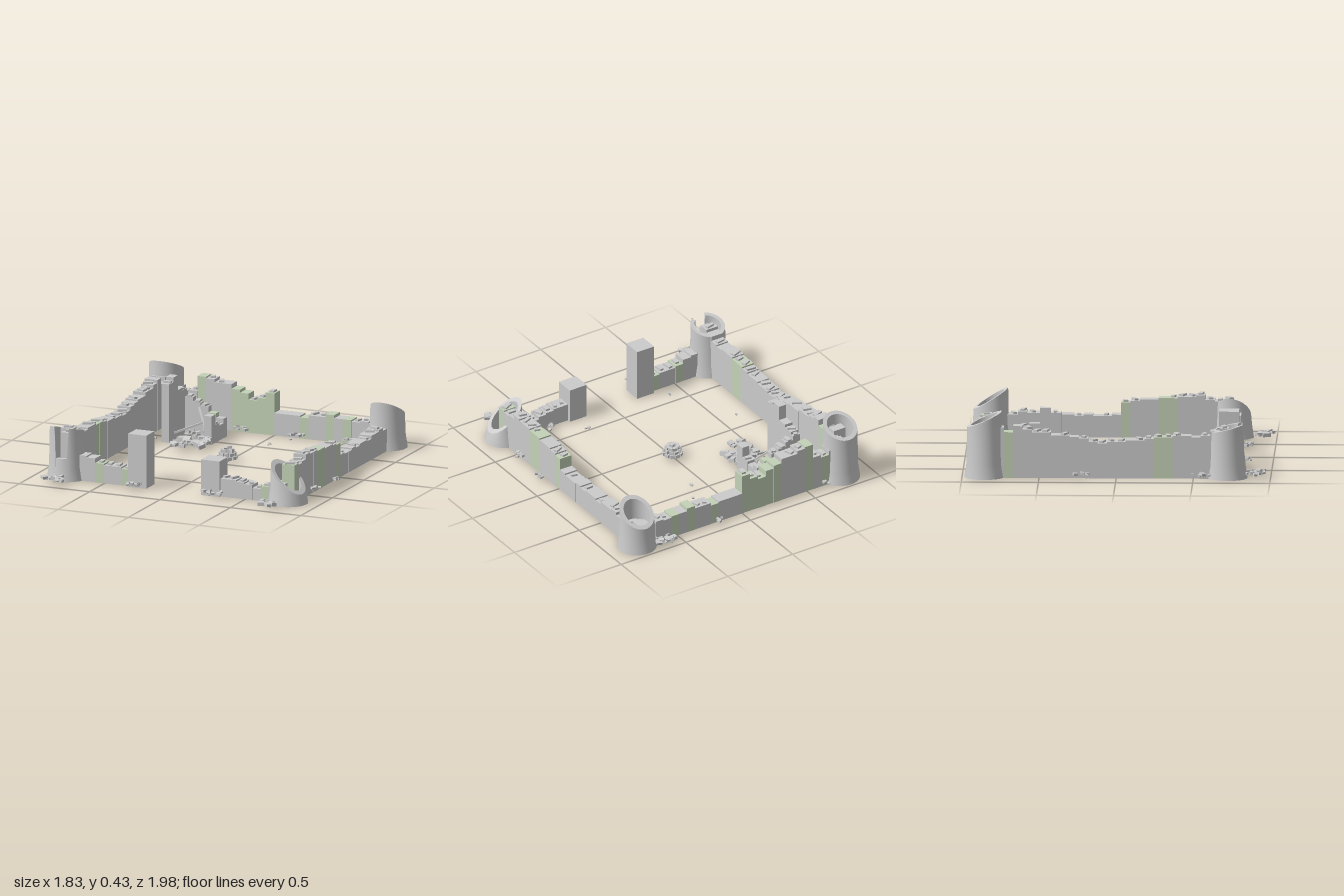
import * as THREE from 'three';
import { toCreasedNormals } from 'three/addons/utils/BufferGeometryUtils.js';

const stone = new THREE.MeshStandardMaterial({ color: 0xcccccc, flatShading: true });
const mossy = new THREE.MeshStandardMaterial({ color: 0xc4d2b8, flatShading: true });
const smooth = new THREE.MeshStandardMaterial({ color: 0xcccccc });

// Small seeded generator for the irregular stones
let seed = 7;
const rand = () => (seed = (seed * 16807) % 2147483647) / 2147483647;
const spread = (a) => (rand() * 2 - 1) * a;

function group(name, parent) {
  const g = new THREE.Group();
  g.name = name;
  parent.add(g);
  return g;
}

function box(parent, name, w, h, d, x, y, z, material = stone) {
  const m = new THREE.Mesh(new THREE.BoxGeometry(w, h, d), material);
  m.name = name;
  m.position.set(x, y, z);
  parent.add(m);
  return m;
}

// A run of standing blocks from [x,z] to [x,z], each with its own broken height
function wall(parent, name, from, to, thick, heights) {
  const g = group(name, parent);
  const [dx, dz] = [to[0] - from[0], to[1] - from[1]];
  const alongX = Math.abs(dx) > Math.abs(dz);
  const step = Math.hypot(dx, dz) / heights.length;
  heights.forEach((h, i) => {
    const t = (i + 0.5) / heights.length;
    const x = from[0] + dx * t, z = from[1] + dz * t;
    const across = thick + spread(0.002);
    const [w, d] = alongX ? [step, across] : [across, step];
    box(g, 'wallBlock', w, h, d, x, h / 2, z, rand() < 0.25 ? mossy : stone);
    if (rand() < 0.6) {
      const chip = box(g, 'looseTopStone', 0.022 + rand() * 0.012, 0.014, 0.04 + rand() * 0.025,
        x + spread(0.005), h + 0.006, z + spread(0.005));
      chip.rotation.y = (alongX ? 0 : Math.PI / 2) + spread(0.5);
    }
  });
}

// Hollow round tower with a flared foot and a slanting broken rim
function tower(parent, name, x, z, mid, slopeX, slopeZ, notch) {
  const TOP = 1;
  const profile = [[0, 0], [0.13, 0], [0.117, 0.09], [0.112, TOP], [0.086, TOP], [0.086, 0.012], [0, 0.012]];
  const geo = new THREE.LatheGeometry(profile.map(([r, y]) => new THREE.Vector2(r, y)), 48);
  const p = geo.attributes.position;
  for (let i = 0; i < p.count; i++) {
    const px = p.getX(i), pz = p.getZ(i);
    let rim = mid + slopeX * px + slopeZ * pz;
    if (notch && pz > 0 && px > -0.03 && px < 0.047) rim = 0.15;
    if (p.getY(i) === TOP) p.setY(i, rim);
    else if (p.getY(i) > 0.05) p.setY(i, Math.min(0.09, rim - 0.012));
  }
  const m = new THREE.Mesh(toCreasedNormals(geo, 0.5), smooth);
  m.name = name;
  m.position.set(x, 0, z);
  parent.add(m);
}

// Scattered fallen stones around a point
function rubble(parent, x, z, count, rx, rz, size = 0.022) {
  const g = group('rubblePile', parent);
  for (let i = 0; i < count; i++) {
    const s = size * (0.55 + rand() * 0.8);
    const m = box(g, 'fallenStone', s, s * 0.6, s * (0.8 + rand() * 0.5),
      x + spread(rx), 0.036 + spread(0.006), z + spread(rz));
    m.rotation.set(spread(0.25), rand() * 3, spread(0.25));
  }
}

function beam(parent, a, b) {
  const [p, q] = [new THREE.Vector3(...a), new THREE.Vector3(...b)];
  const mid = p.clone().lerp(q, 0.5);
  const m = box(parent, 'fallenBeam', 0.012, 0.012, p.distanceTo(q), mid.x, mid.y, mid.z);
  m.lookAt(q);
}

export function createModel() {
  seed = 7;
  const root = new THREE.Group();
  root.name = 'ruinedCastle';
  const TX = 0.785, BACK = -0.855, FRONT = 0.72;

  // Corner towers
  tower(root, 'backRightTower', -TX, BACK, 0.38, 0, 0.45);
  tower(root, 'backLeftTower', TX, BACK, 0.25, 0, 0.62);
  tower(root, 'frontRightTower', -TX, FRONT, 0.33, 0, 0.25, true);
  tower(root, 'frontLeftTower', TX, FRONT, 0.17, -0.86, -0.2);

  // Curtain walls
  wall(root, 'rightWall', [-TX, 0.73], [-TX, -0.85], 0.09,
    [0.33, 0.31, 0.28, 0.27, 0.28, 0.28, 0.27, 0.27, 0.26, 0.25, 0.25, 0.24, 0.24,
      0.23, 0.24, 0.26, 0.27, 0.28, 0.28, 0.3, 0.3, 0.32, 0.34, 0.3, 0.33, 0.35]);
  wall(root, 'leftWall', [TX, 0.72], [TX, -0.86], 0.09,
    [0.25, 0.24, 0.25, 0.28, 0.27, 0.27, 0.26, 0.26, 0.25, 0.25, 0.24, 0.23, 0.15,
      0.14, 0.14, 0.15, 0.14, 0.15, 0.15, 0.14, 0.16, 0.16, 0.17, 0.15, 0.15, 0.14]);
  wall(root, 'backWall', [-0.79, BACK], [0.79, BACK], 0.09,
    [0.3, 0.25, 0.22, 0.24, 0.34, 0.33, 0.31, 0.31, 0.28, 0.26, 0.22, 0.24, 0.28,
      0.15, 0.15, 0.15, 0.14, 0.16, 0.16, 0.18, 0.16, 0.16, 0.15, 0.16, 0.15, 0.16]);
  wall(root, 'frontWallRight', [-0.81, FRONT], [-0.32, FRONT], 0.09,
    [0.31, 0.22, 0.17, 0.16, 0.13, 0.12, 0.12, 0.11]);
  wall(root, 'frontWallLeft', [0.32, FRONT], [0.78, FRONT], 0.09,
    [0.12, 0.12, 0.11, 0.1, 0.08, 0.1, 0.13, 0.13]);

  // Gate posts
  box(root, 'gatePostRight', 0.13, 0.355, 0.13, -0.26, 0.1775, 0.717);
  box(root, 'gatePostLeft', 0.13, 0.238, 0.13, 0.26, 0.119, 0.717);

  // Ruined house in the yard
  const house = group('ruinedHouse', root);
  wall(house, 'houseRightWall', [-0.572, -0.64], [-0.572, -0.36], 0.055, [0.3, 0.32, 0.42, 0.39]);
  wall(house, 'houseBackWall', [-0.6, -0.637], [-0.27, -0.637], 0.05, [0.28, 0.25, 0.22, 0.2, 0.16, 0.13]);
  wall(house, 'houseLeftWall', [-0.297, -0.61], [-0.297, -0.42], 0.052, [0.1, 0.12, 0.19]);
  beam(house, [-0.54, 0.05, -0.43], [-0.37, 0.12, -0.5]);
  beam(house, [-0.44, 0.19, -0.6], [-0.32, 0.04, -0.46]);

  // Broken well in the middle of the yard
  const well = group('brokenWell', root);
  for (let row = 0; row < 3; row++) {
    for (let i = 0; i < 10 - row; i++) {
      const a = (i / (10 - row)) * Math.PI * 2 + row * 0.3;
      const r = 0.055 - row * 0.011;
      const s = box(well, 'wellStone', 0.028, 0.022, 0.022,
        Math.sin(a) * r, 0.034 + row * 0.021, -0.07 + Math.cos(a) * r);
      s.rotation.set(spread(0.15), a + spread(0.25), spread(0.15));
    }
  }
  box(well, 'wellTopStone', 0.03, 0.016, 0.022, 0.01, 0.097, -0.08).rotation.y = 0.5;

  // Fallen stones: x, z, count, spread in x, spread in z, size
  const debris = group('debris', root);
  [
    [-0.79, 0.9, 16, 0.07, 0.06, 0.03], [0.74, 0.93, 13, 0.06, 0.055, 0.032],
    [-0.26, 0.82, 9, 0.05, 0.04], [0.3, 0.82, 9, 0.08, 0.04],
    [-0.87, 0.56, 6, 0.03, 0.07], [-0.87, -0.23, 7, 0.025, 0.06],
    [0.87, 0.17, 5, 0.02, 0.03], [0.86, 0.42, 4, 0.03, 0.05],
    [0.62, -0.94, 14, 0.07, 0.04, 0.028], [-0.64, -0.87, 8, 0.04, 0.07],
    [-0.6, -0.78, 7, 0.1, 0.03], [-0.23, -0.78, 8, 0.07, 0.025],
    [0.17, -0.76, 5, 0.05, 0.04], [0.18, -0.93, 4, 0.03, 0.02],
    [0.6, -0.78, 8, 0.1, 0.03], [0.65, -0.58, 4, 0.03, 0.04],
    [-0.36, -0.34, 24, 0.1, 0.08, 0.036], [-0.36, -0.22, 10, 0.1, 0.05, 0.034],
    [-0.45, -0.52, 10, 0.07, 0.07], [0.12, -0.47, 2, 0.02, 0.02, 0.012],
    [0.2, -0.62, 1, 0, 0, 0.012], [0.3, 0.48, 2, 0.01, 0.02, 0.018],
    [-0.38, 0.55, 3, 0.015, 0.015, 0.018], [-0.59, 0.1, 2, 0.01, 0.02, 0.014],
    [-0.63, -0.32, 2, 0.015, 0.015, 0.014], [0.49, 0.62, 4, 0.04, 0.03],
  ].forEach((c) => rubble(debris, ...c));
  return root;
}
